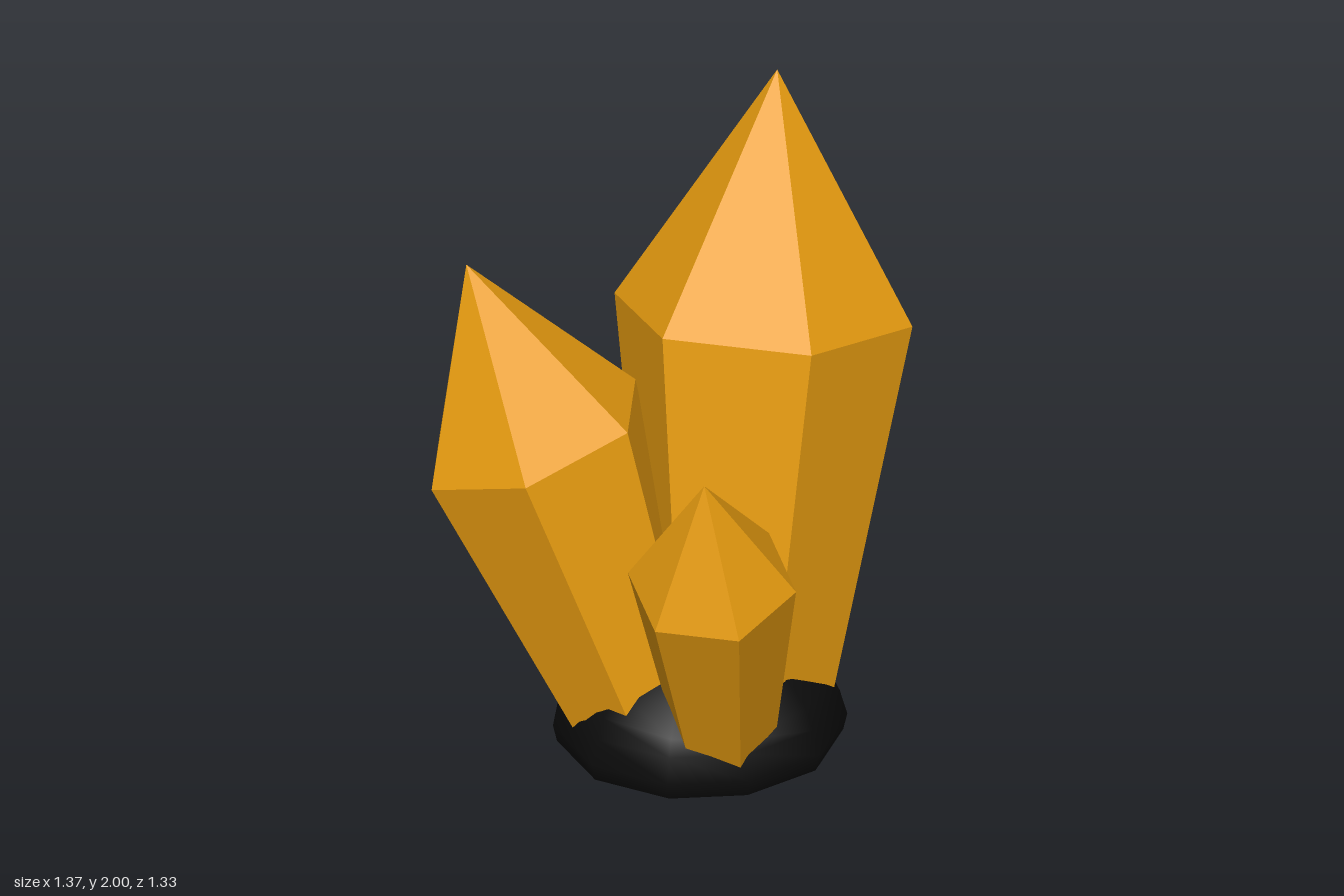
import * as THREE from 'three';
import { mergeVertices } from 'three/addons/utils/BufferGeometryUtils.js';

const V2 = (x, y) => new THREE.Vector2(x, y);
const V3 = (p) => new THREE.Vector3(...p);

// Six-sided crystal of unit girdle radius: tapered body below, pointed tip above.
function crystalGeometry() {
  const profile = [V2(0, -2.7), V2(0.59, -2.7), V2(1, 0), V2(0, 1.657)];
  const geometry = new THREE.LatheGeometry(profile, 6).toNonIndexed();
  geometry.computeVertexNormals();
  return geometry;
}

// Low, rounded rock with an uneven outline.
function rockGeometry() {
  const profile = [
    V2(0, 0), V2(0.385, 0), V2(0.425, 0.025), V2(0.437, 0.08), V2(0.415, 0.16),
    V2(0.39, 0.21), V2(0.33, 0.28), V2(0.2, 0.33), V2(0, 0.36),
  ];
  let geometry = new THREE.LatheGeometry(profile, 11);
  const pos = geometry.attributes.position;
  for (let i = 0; i < pos.count; i++) {
    const x = pos.getX(i), y = pos.getY(i), z = pos.getZ(i);
    const angle = Math.atan2(z, x);
    const r = Math.hypot(x, z);
    const swell = 1 + 0.02 * Math.sin(3 * angle + 1);
    const lump = y > 0.18 && r > 0.01 ? 0.018 * Math.sin(4 * angle) : 0;
    pos.setXYZ(i, x * swell, y + lump, z * swell);
  }
  geometry.deleteAttribute('uv');
  geometry.deleteAttribute('normal');
  geometry = mergeVertices(geometry, 1e-4);
  geometry.computeVertexNormals();
  return geometry;
}

export function createModel() {
  const model = new THREE.Group();
  const amber = new THREE.MeshStandardMaterial({ color: 0xe69b10, flatShading: true });
  const black = new THREE.MeshStandardMaterial({ color: 0x0b0b0b });

  // Each crystal: girdle centre, tip direction, direction to one girdle corner, radius.
  const crystals = [
    ['largeCrystal', [0.23, 1.28, -0.29], [0, 0.72, -0.195], [1, 0, 0], 0.45],
    ['mediumCrystal', [-0.377, 1.018, 0.122], [-0.209, 0.552, -0.027], [0.311, 0.1225, 0.123], 0.356],
    ['smallCrystal', [0.232, 0.785, 0.45], [0, 0.405, 0.11], [1, 0, 0], 0.254],
  ];
  const geometry = crystalGeometry();
  for (const [name, centre, tip, corner, radius] of crystals) {
    const up = V3(tip).normalize();
    const side = new THREE.Vector3().crossVectors(up, V3(corner)).normalize();
    const out = new THREE.Vector3().crossVectors(side, up);
    const mesh = new THREE.Mesh(geometry, amber);
    mesh.name = name;
    mesh.quaternion.setFromRotationMatrix(new THREE.Matrix4().makeBasis(side, up, out));
    mesh.position.set(...centre);
    mesh.scale.setScalar(radius);
    model.add(mesh);
  }

  // Rock the crystals grow from
  const rock = new THREE.Mesh(rockGeometry(), black);
  rock.name = 'rockBase';
  rock.position.set(0.105, 0, 0.05);
  model.add(rock);

  return model;
}
